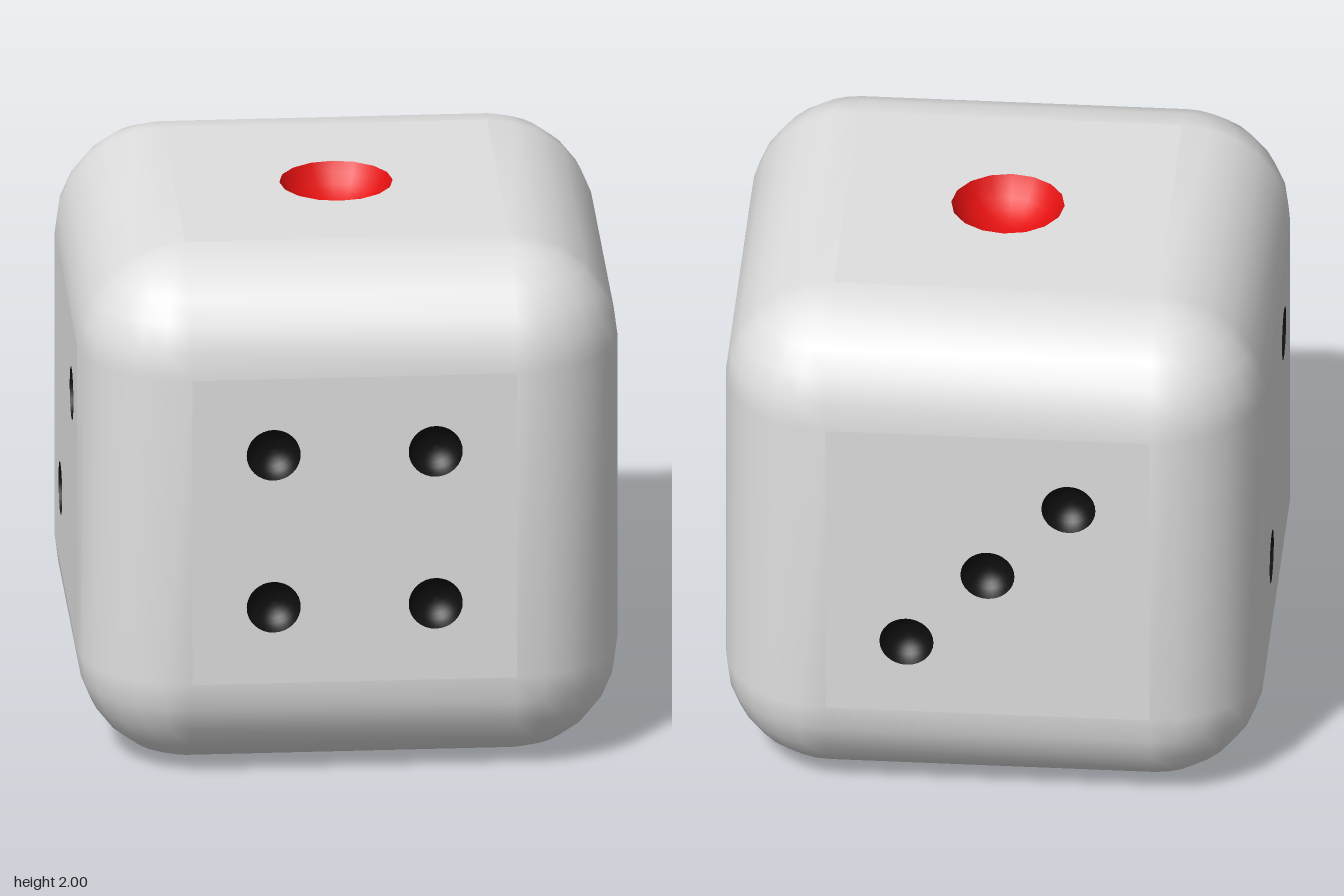
import * as THREE from 'three';
import { mergeGeometries, mergeVertices } from 'three/addons/utils/BufferGeometryUtils.js';

const HALF = 1;          // half the cube's side
const R = 0.4;           // rounding radius
const FLAT = HALF - R;   // half the flat square of each face
const STEPS = 6;         // segments per rounded quarter

const ivory = new THREE.MeshStandardMaterial({ color: 0xe0e0e0 });
ivory.name = 'body white';
const black = new THREE.MeshStandardMaterial({ color: 0x101010 });
black.name = 'pip black';
const red = new THREE.MeshStandardMaterial({ color: 0xe51010 });
red.name = 'pip red';

const smallPip = { r: 0.1, depth: 0.07, sides: 32, material: black, name: 'blackPip' };
const bigPip = { r: 0.21, depth: 0.14, sides: 16, material: red, name: 'redPip' };

// Moves a rounded piece out to the cube edge or corner it points to
function pushOut(geometry) {
  geometry.computeBoundingBox();
  const c = geometry.boundingBox.getCenter(new THREE.Vector3());
  const s = c.toArray().map((v) => (Math.abs(v) < 0.01 ? 0 : Math.sign(v) * FLAT));
  geometry.translate(...s);
  geometry.deleteAttribute('normal');
  geometry.deleteAttribute('uv');
  return geometry;
}

// Twelve rounded edges and eight rounded corners as one smooth skin
function roundedFrame() {
  const parts = [];
  const q = Math.PI / 2;
  for (let i = 0; i < 4; i++) {
    for (const axis of ['x', 'y', 'z']) {
      const edge = new THREE.CylinderGeometry(R, R, 2 * FLAT, STEPS, 1, true, i * q, q);
      if (axis === 'x') edge.rotateZ(q);
      if (axis === 'z') edge.rotateX(q);
      parts.push(pushOut(edge));
    }
    for (const theta of [0, q]) {
      parts.push(pushOut(new THREE.SphereGeometry(R, STEPS, STEPS, i * q, q, theta, q)));
    }
  }
  const skin = mergeVertices(mergeGeometries(parts), 1e-4);
  skin.computeVertexNormals();
  return skin;
}

// Shallow hollow, opening towards +z with its rim at z = 0
function hollow({ r, depth, sides }) {
  const R0 = (r * r + depth * depth) / (2 * depth);
  const open = Math.asin(r / R0);
  const profile = [];
  for (let i = 0; i <= 6; i++) {
    const a = open * (1 - i / 6);
    profile.push(new THREE.Vector2(R0 * Math.sin(a), R0 - depth - R0 * Math.cos(a)));
  }
  return new THREE.LatheGeometry(profile, sides).rotateX(Math.PI / 2);
}

// Flat square with a hole and a hollow for every pip
function face(name, rotation, pip, spots) {
  const group = new THREE.Group();
  group.name = name;
  const square = new THREE.Shape([[-1, -1], [1, -1], [1, 1], [-1, 1]]
    .map(([x, y]) => new THREE.Vector2(x * FLAT, y * FLAT)));
  const bowl = hollow(pip);
  for (const [x, y] of spots) {
    const rim = [];
    for (let i = 0; i < pip.sides; i++) {
      const a = (-i / pip.sides) * Math.PI * 2;
      rim.push(new THREE.Vector2(x + pip.r * Math.cos(a), y + pip.r * Math.sin(a)));
    }
    square.holes.push(new THREE.Path(rim));
    const dot = new THREE.Mesh(bowl, pip.material);
    dot.name = pip.name;
    dot.position.set(x, y, HALF);
    group.add(dot);
  }
  const plate = new THREE.Mesh(new THREE.ShapeGeometry(square), ivory);
  plate.name = name + 'Plate';
  plate.position.z = HALF;
  group.add(plate);
  group.rotation.set(...rotation);
  return group;
}

export function createModel() {
  const model = new THREE.Group();
  model.name = 'die';
  const cube = new THREE.Group();
  cube.name = 'cube';
  cube.position.y = HALF;
  model.add(cube);

  const frame = new THREE.Mesh(roundedFrame(), ivory);
  frame.name = 'roundedEdges';
  cube.add(frame);

  // Pip layouts
  const d = 0.3;
  const q = Math.PI / 2;
  const two = [[-d, -d], [d, d]];
  const three = [...two, [0, 0]];
  const four = [...two, [-d, d], [d, -d]];
  const five = [...four, [0, 0]];
  const six = [-0.4, 0, 0.4].flatMap((x) => [[x, -d], [x, d]]);

  cube.add(
    face('topFace', [-q, 0, 0], bigPip, [[0, 0]]),
    face('leftFace', [0, q, 0], smallPip, five),
    face('rightFace', [0, -q, 0], smallPip, two),
    face('backFace', [0, Math.PI, 0], smallPip, three),
    face('frontFace', [0, 0, 0], smallPip, four),
    face('bottomFace', [q, 0, 0], smallPip, six),
  );
  return model;
}
